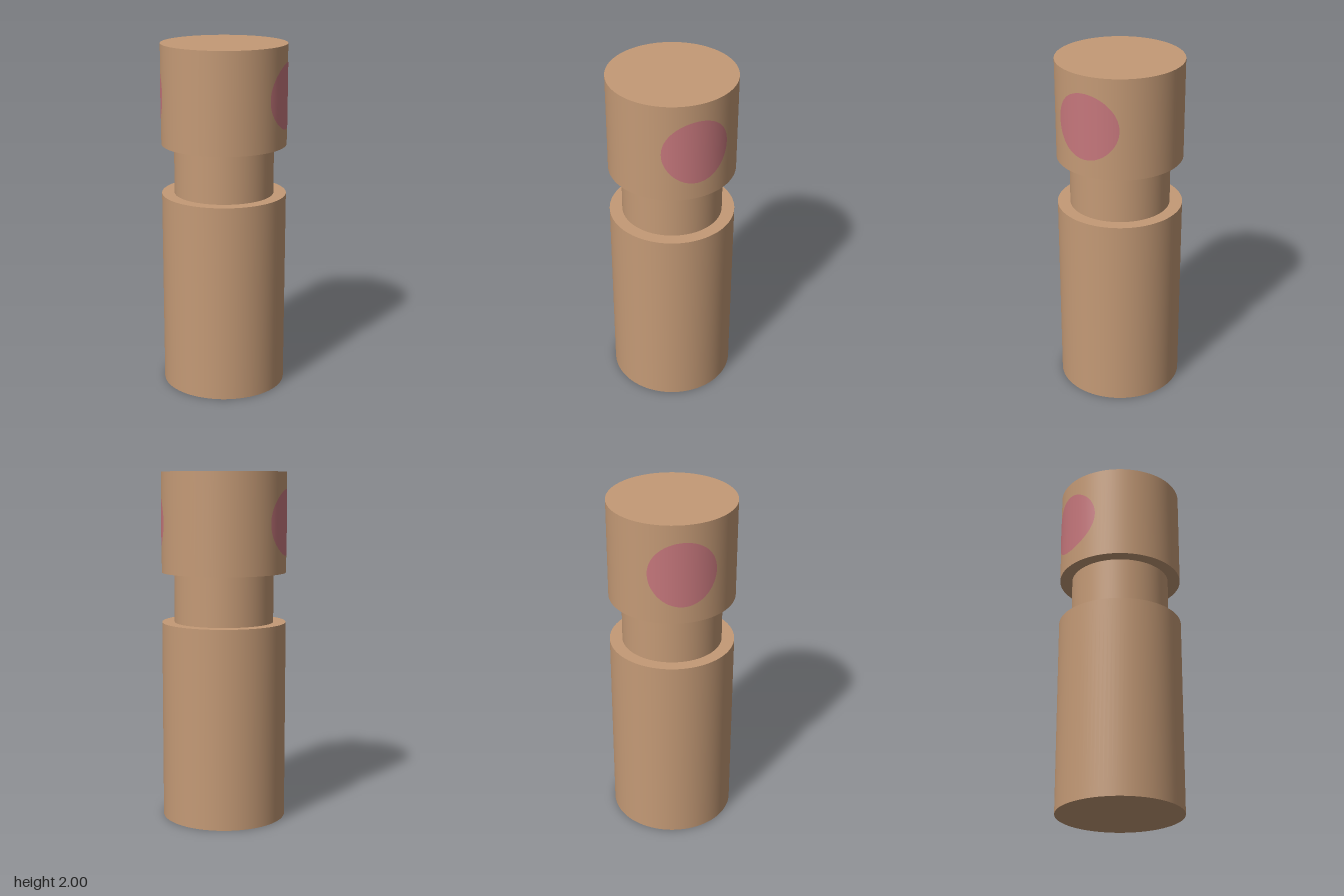
import * as THREE from 'three';

const R = 0.357, NECK_R = 0.285;

const wood = new THREE.MeshStandardMaterial({ color: 0xc49a76 });
wood.name = 'tan wood';
const pink = new THREE.MeshStandardMaterial({ color: 0xc6777c });
pink.name = 'blush pink';

// Upright cylinder between two heights
function drum(name, radius, y0, y1, open = false) {
  const mesh = new THREE.Mesh(new THREE.CylinderGeometry(radius, radius, y1 - y0, 96, 1, open), wood);
  mesh.position.y = (y0 + y1) / 2;
  mesh.name = name;
  return mesh;
}

// Round spot bent onto the curved side of the head
function spotGeometry(radius) {
  const geo = new THREE.RingGeometry(0, radius, 64, 12);
  const pos = geo.attributes.position, nor = geo.attributes.normal;
  const r = R + 0.0015;
  for (let i = 0; i < pos.count; i++) {
    const x = pos.getX(i), z = Math.sqrt(r * r - x * x);
    pos.setZ(i, z);
    nor.setXYZ(i, x / r, 0, z / r);
  }
  return geo;
}

export function createModel() {
  const group = new THREE.Group();
  group.name = 'peg';
  group.add(
    drum('body', R, 0, 1.143),
    drum('neck', NECK_R, 1.143, 1.43, true),
    drum('head', R, 1.43, 2)
  );

  // One spot on each side of the head
  const geo = spotGeometry(0.187);
  for (const side of [1, -1]) {
    const spot = new THREE.Mesh(geo, pink);
    spot.name = side > 0 ? 'leftSpot' : 'rightSpot';
    spot.position.y = 1.715;
    spot.rotation.y = side * Math.PI / 2;
    group.add(spot);
  }
  return group;
}
